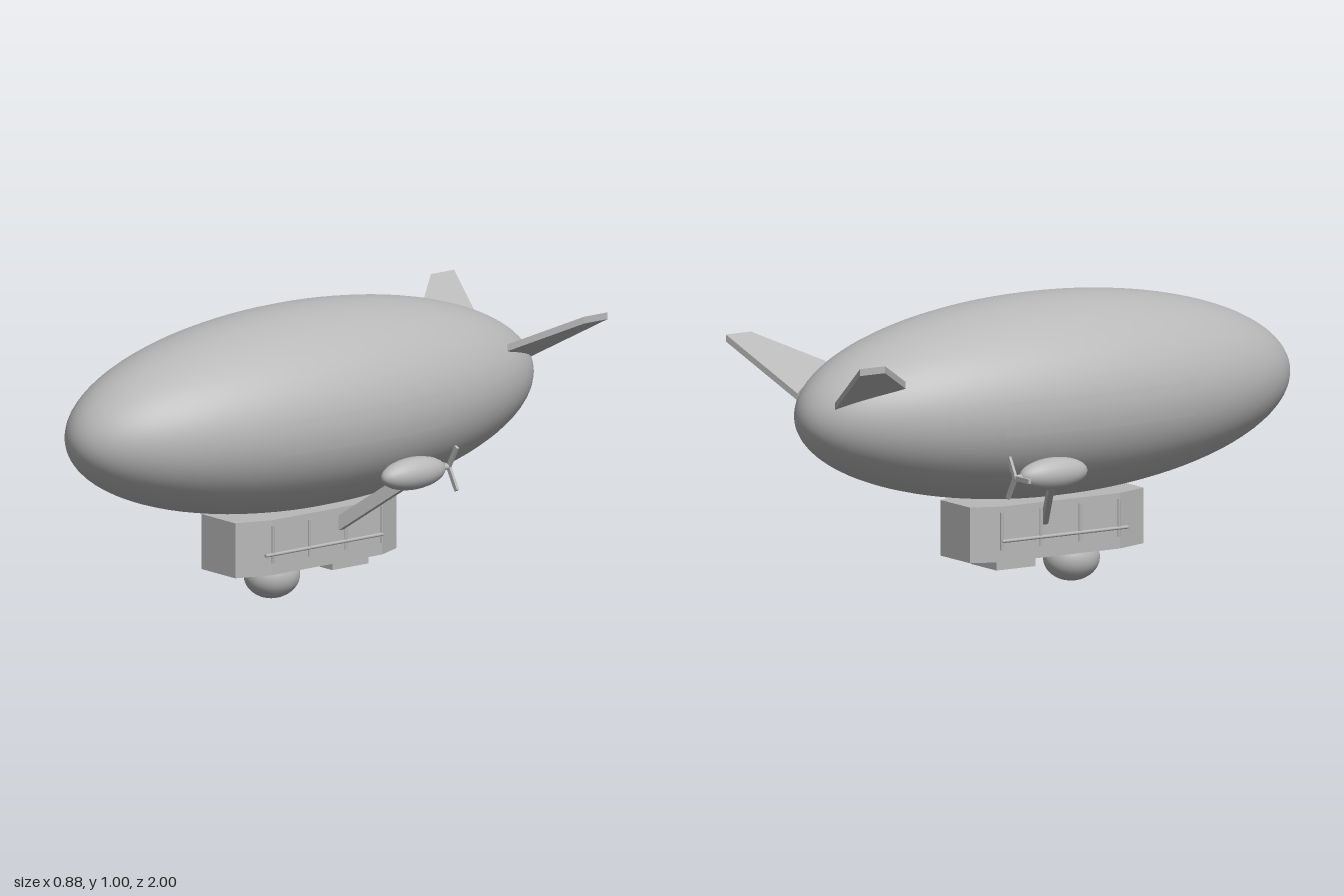
import * as THREE from 'three';

const CX = 0.016; // hull centreline
const HULL = { y: 0.657, z: 0.02, rx: 0.397, ry: 0.348, rz: 0.98 };

export function createModel() {
  const grey = new THREE.MeshStandardMaterial({ color: 0xb8b8b8, side: THREE.DoubleSide });
  grey.name = 'grey';
  const model = new THREE.Group();
  model.name = 'airship';
  const body = new THREE.Group();
  body.name = 'airshipBody';
  body.position.x = CX;
  model.add(body);

  const add = (name, geometry, x = 0, y = 0, z = 0, parent = body) => {
    const mesh = new THREE.Mesh(geometry, grey);
    mesh.name = name;
    mesh.position.set(x, y, z);
    parent.add(mesh);
    return mesh;
  };

  // Ellipsoid with its poles on the z axis
  const ellipsoid = (rx, ry, rz, seg, rings) =>
    new THREE.SphereGeometry(1, seg, rings).rotateX(Math.PI / 2).scale(rx, ry, rz);

  // Flat plate from an outline of [x, z] points, rising by height along y
  const plate = (points, height) => {
    const shape = new THREE.Shape(points.map(([x, z]) => new THREE.Vector2(x, -z)));
    return new THREE.ExtrudeGeometry(shape, { depth: height, bevelEnabled: false }).rotateX(-Math.PI / 2);
  };

  // Moves each vertex by a rule, then refreshes the normals
  const warp = (geometry, rule) => {
    const p = geometry.attributes.position;
    const v = new THREE.Vector3();
    for (let i = 0; i < p.count; i++) {
      rule(v.fromBufferAttribute(p, i));
      p.setXYZ(i, v.x, v.y, v.z);
    }
    geometry.computeVertexNormals();
    return geometry;
  };

  // Gas envelope
  add('envelope', ellipsoid(HULL.rx, HULL.ry, HULL.rz, 64, 48), 0, HULL.y, HULL.z);

  // Cabin with chamfered corners
  add('gondola', plate([
    [0.09, 0.375], [0.133, 0.25], [0.133, -0.235], [0.09, -0.335],
    [-0.09, -0.335], [-0.133, -0.235], [-0.133, 0.25], [-0.09, 0.375],
  ], 0.192), 0, 0.118, 0);

  // Fittings under the cabin
  add('bellyDome', ellipsoid(0.09, 0.08, 0.1, 32, 20), 0, 0.08, 0.14);
  add('bellyBox', new THREE.BoxGeometry(0.16, 0.05, 0.16), 0, 0.105, -0.14);

  for (const s of [1, -1]) {
    const side = s > 0 ? 'left' : 'right';

    // Swept tail fin, tilted upward toward the tip
    const fin = plate([
      [s * 0.41, -1], [s * 0.41, -0.897], [s * 0.24, -0.7], [s * 0.115, -0.905],
    ], 0.024);
    add(side + 'TailFin', warp(fin, (v) => { v.y += 0.876 + 0.575 * (Math.abs(v.x) - 0.41); }));

    // Thin side panel following the envelope
    const panel = warp(new THREE.PlaneGeometry(0.77, 0.12, 32, 6), (v) => {
      const y = v.y + 0.655;
      const z = 0.015 - s * v.x;
      const k = 1 - ((y - HULL.y) / HULL.ry) ** 2 - ((z - HULL.z) / HULL.rz) ** 2;
      v.set(s * (HULL.rx * Math.sqrt(k) + 0.001), y, z);
    });
    add(side + 'SidePanel', panel);

    // Slanted engine strut
    const strut = warp(new THREE.BoxGeometry(0.215, 0.052, 0.022), (v) => {
      v.y += s * v.x * 0.8;
      v.z -= s * v.x * 0.54;
    });
    add(side + 'EngineStrut', strut, s * 0.238, 0.341, -0.112);

    // Engine pod with a three-bladed propeller
    const engine = new THREE.Group();
    engine.name = side + 'Engine';
    engine.position.set(s * 0.367, 0.453, -0.18);
    body.add(engine);
    add('enginePod', ellipsoid(0.056, 0.056, 0.135, 24, 16), 0, 0, 0, engine);
    add('propellerHub', new THREE.CylinderGeometry(0.01, 0.01, 0.04, 12).rotateX(Math.PI / 2), 0, 0, -0.143, engine);
    for (let i = 0; i < 3; i++) {
      const blade = new THREE.BoxGeometry(0.088, 0.016, 0.01).translate(0.044, 0, 0);
      add('propellerBlade', blade, 0, 0, -0.156, engine).rotation.z = Math.PI / 3 + (i * 2 * Math.PI) / 3;
    }

    // Handrail and its posts along the cabin
    const rail = new THREE.CylinderGeometry(0.006, 0.006, 0.515, 8).rotateX(Math.PI / 2);
    add(side + 'Handrail', rail, s * 0.136, 0.19, 0.0225);
    for (let i = 0; i < 4; i++) {
      add(side + 'RailPost', new THREE.CylinderGeometry(0.006, 0.006, 0.13, 8), s * 0.134, 0.225, 0.245 - i * 0.16);
    }
  }
  return model;
}
